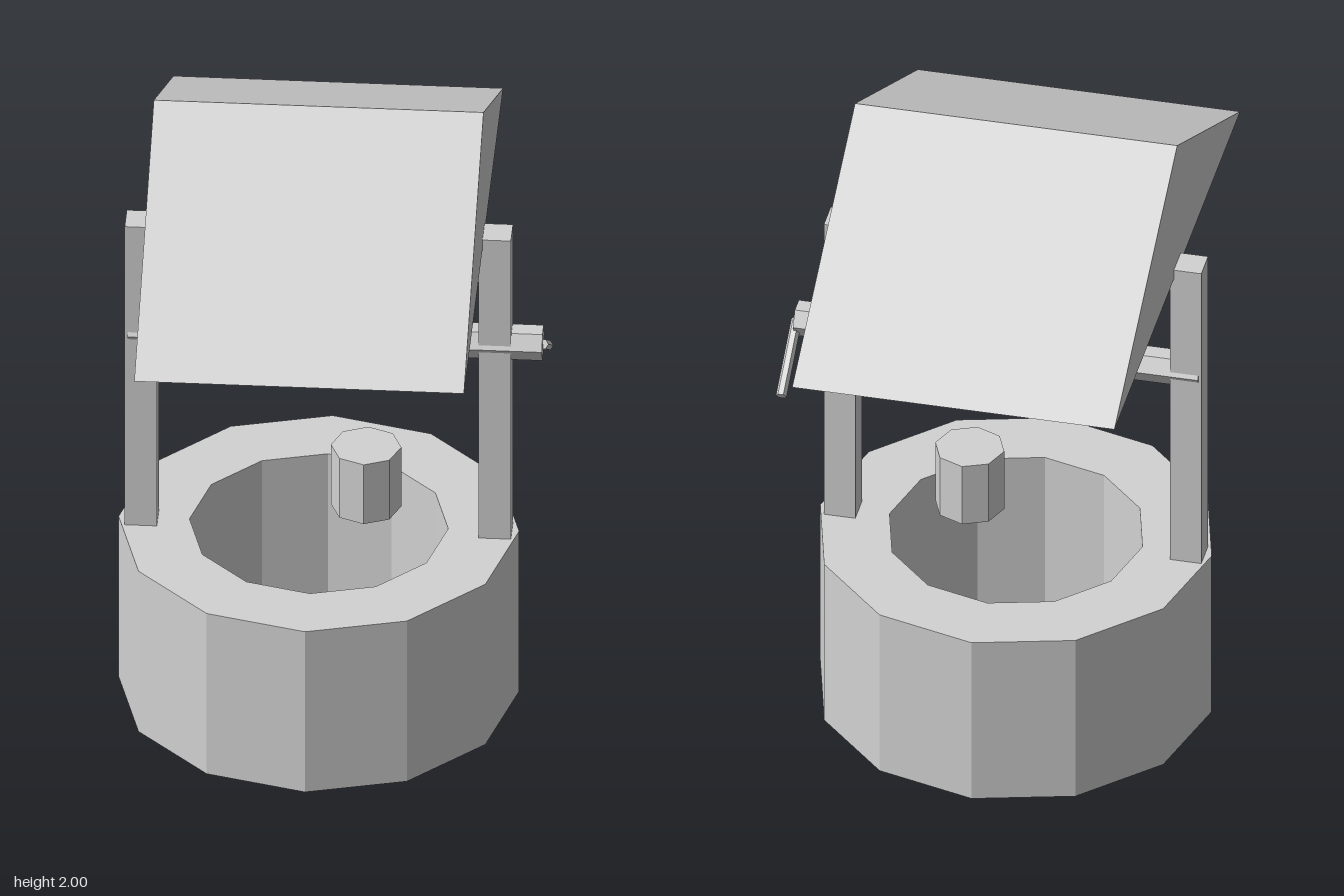
import * as THREE from 'three';

export function createModel() {
  const model = new THREE.Group();
  model.name = 'well';
  const grey = new THREE.MeshStandardMaterial({ color: 0xd2d2d2, flatShading: true });
  grey.name = 'light grey';

  const add = (name, geometry, x, y, z) => {
    const mesh = new THREE.Mesh(geometry, grey);
    mesh.name = name;
    mesh.position.set(x, y, z);
    model.add(mesh);
    return mesh;
  };

  const centreX = -0.045;

  // Twelve-sided wall, open right through
  const outer = 0.585, inner = 0.378, wallHeight = 0.555;
  const profile = [[outer, 0], [outer, wallHeight], [inner, wallHeight], [inner, 0], [outer, 0]]
    .map(([r, y]) => new THREE.Vector2(r, y));
  add('wall', new THREE.LatheGeometry(profile, 12), centreX, 0, 0);

  // Two posts standing on the wall
  const postTop = 1.587;
  for (const [name, side] of [['rightPost', -1], ['leftPost', 1]]) {
    add(name, new THREE.BoxGeometry(0.094, postTop - wallHeight, 0.09),
      centreX + side * 0.517, (postTop + wallHeight) / 2, 0);
  }

  // Solid gabled roof, ridge along x
  const gable = new THREE.Shape();
  gable.moveTo(-0.826, 1.555);
  gable.lineTo(0.826, 1.555);
  gable.lineTo(0, 2);
  gable.closePath();
  const roof = new THREE.ExtrudeGeometry(gable, { depth: 0.963, bevelEnabled: false });
  roof.rotateY(Math.PI / 2);
  add('roof', roof, -0.527, 0, 0);

  // Hexagonal axle through both posts
  const axle = new THREE.CylinderGeometry(0.052, 0.052, 1.21, 6);
  axle.rotateZ(Math.PI / 2);
  add('axle', axle, 0.005, 1.21, 0);

  // Crank handle slanting down to the back
  const handle = new THREE.CylinderGeometry(0.016, 0.016, 0.245, 6);
  handle.rotateY(Math.PI / 6);
  handle.rotateX(Math.atan2(0.205, 0.135));
  add('crankHandle', handle, 0.61, 1.138, -0.1025);

  // Eight-sided bucket
  add('bucket', new THREE.CylinderGeometry(0.103, 0.103, 0.205, 8), 0.093, 0.728, 0);

  return model;
}
